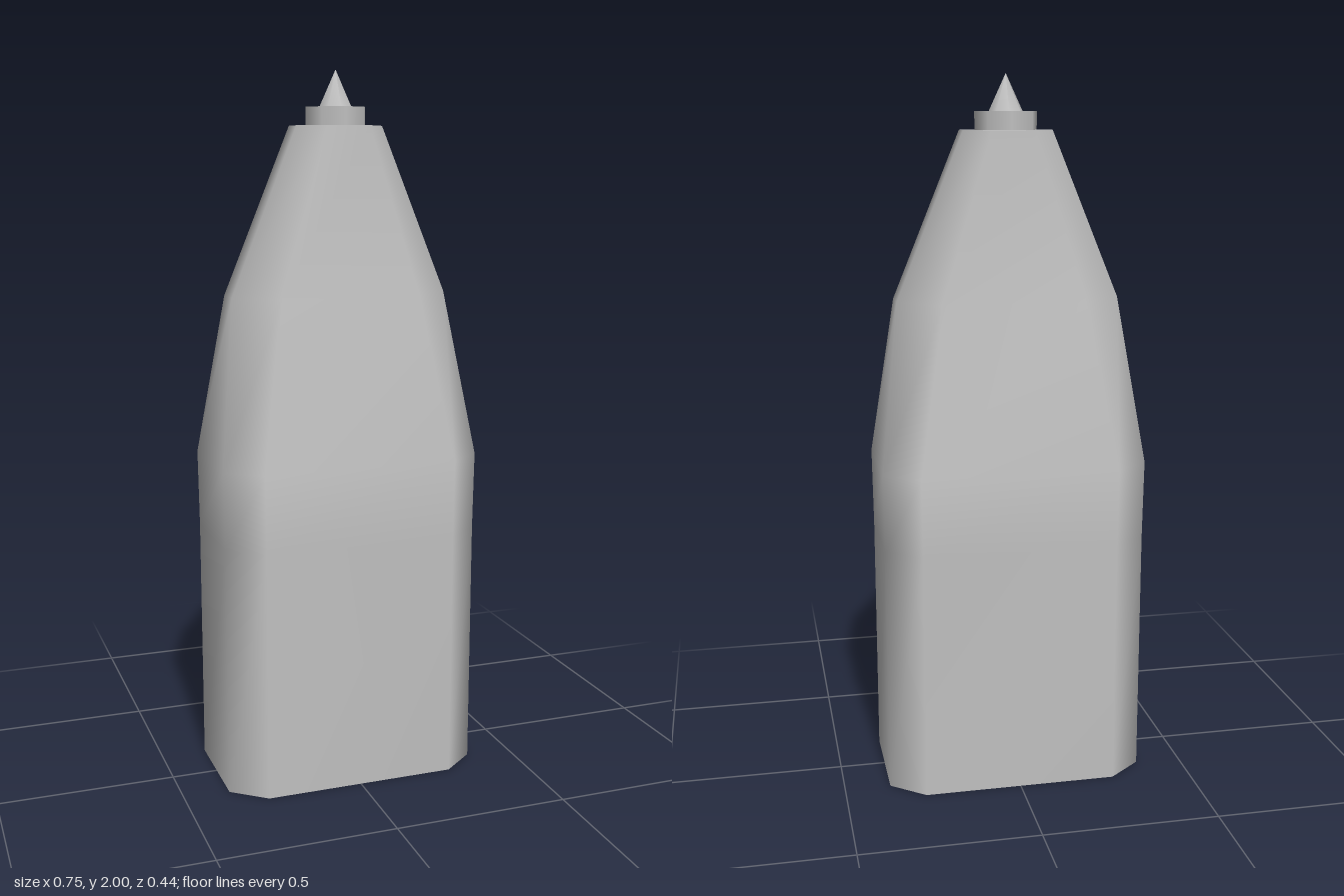
import * as THREE from 'three';

// Each level: height, outer half width/depth, and the inner ends of the chamfers
const LEVELS = [
  { y: 0, hx: 0.37, hz: 0.221, cx: 0.275, cz: 0.145 },
  { y: 0.71, hx: 0.37, hz: 0.221, cx: 0.275, cz: 0.145 },
  { y: 0.93, hx: 0.373, hz: 0.222, cx: 0.277, cz: 0.146 },
  { y: 1.39, hx: 0.313, hz: 0.133, cx: 0.2, cz: 0.04 },
  { y: 1.85, hx: 0.124, hz: 0.111, cx: 0.06, cz: 0.034 },
];

// Chamfered rectangle, running from +x towards +z
function ring({ y, hx, hz, cx, cz }) {
  return [
    [hx, cz], [cx, hz], [-cx, hz], [-hx, cz],
    [-hx, -cz], [-cx, -hz], [cx, -hz], [hx, -cz],
  ].map(([x, z]) => [x, y, z]);
}

// Smooth walls joining the rings, closed by separate flat caps
function loft(levels) {
  const rings = levels.map(ring);
  const n = 8;
  const points = [...rings, rings[0], rings[rings.length - 1]].flat();
  const index = [];
  for (let i = 0; i < rings.length - 1; i++) {
    for (let j = 0; j < n; j++) {
      const a = i * n + j;
      const b = i * n + ((j + 1) % n);
      index.push(a, a + n, b, b, a + n, b + n);
    }
  }
  const bottom = rings.length * n;
  const top = bottom + n;
  for (let j = 1; j < n - 1; j++) {
    index.push(bottom, bottom + j, bottom + j + 1);
    index.push(top, top + j + 1, top + j);
  }
  const geometry = new THREE.BufferGeometry();
  geometry.setAttribute('position', new THREE.Float32BufferAttribute(points.flat(), 3));
  geometry.setIndex(index);
  geometry.computeVertexNormals();
  return geometry;
}

export function createModel() {
  const group = new THREE.Group();
  const grey = new THREE.MeshStandardMaterial({ name: 'lightGrey', color: 0xc0c0c0 });

  const add = (name, geometry, y = 0) => {
    const mesh = new THREE.Mesh(geometry, grey);
    mesh.name = name;
    mesh.position.y = y;
    group.add(mesh);
  };

  add('body', loft(LEVELS));
  // Octagonal collar and pointed tip
  add('collar', new THREE.CylinderGeometry(0.087, 0.087, 0.05, 8), 1.875);
  add('tip', new THREE.ConeGeometry(0.047, 0.1, 8), 1.95);

  return group;
}
